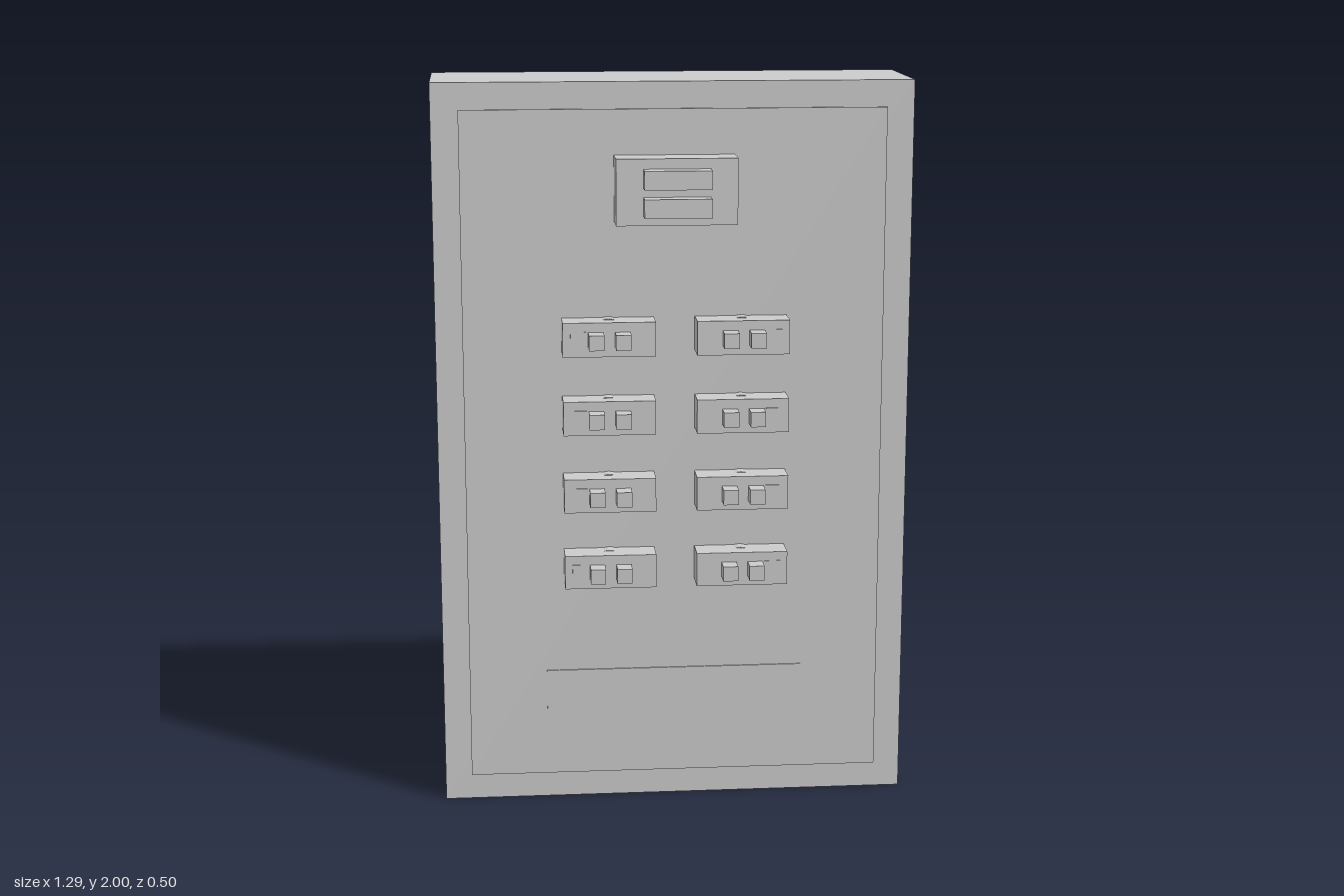
import * as THREE from 'three';

const material = new THREE.MeshStandardMaterial({ color: 0xcccccc });

// Box given by its centre in x and y, its size, and its back and front z
function slab(name, x, y, w, h, back, front) {
  const mesh = new THREE.Mesh(new THREE.BoxGeometry(w, h, front - back), material);
  mesh.name = name;
  mesh.position.set(x, y, (back + front) / 2);
  return mesh;
}

// Double breaker: body, round mount, two toggles and a rating plate on the outer side
function breaker(side, y) {
  const group = new THREE.Group();
  group.name = 'breaker';
  group.position.set(side * 0.18, y, 0);
  group.add(slab('breakerBody', 0, 0, 0.249, 0.093, 0.1, 0.189));

  const mount = new THREE.Mesh(new THREE.CylinderGeometry(0.049, 0.049, 0.045, 32), material);
  mount.name = 'breakerMount';
  mount.rotation.x = Math.PI / 2;
  mount.position.z = 0.1235;
  group.add(mount);

  for (const s of [-1, 1]) {
    group.add(slab('breakerToggle', s * 0.036, 0, 0.041, 0.041, 0.18, 0.236));
  }
  group.add(slab('ratingPlate', side * 0.083, 0.003, 0.042, 0.038, 0.18, 0.192));
  return group;
}

export function createModel() {
  const model = new THREE.Group();
  model.name = 'breakerPanel';

  // Cabinet, door and blank directory card
  model.add(slab('cabinet', 0, 1, 1.286, 2, -0.25, 0.103));
  model.add(slab('door', 0, 1, 1.14, 1.857, 0.09, 0.11));
  model.add(slab('directoryCard', 0, 0.287, 0.71, 0.178, 0.1, 0.114));

  // Main switch with two wide toggles
  const main = new THREE.Group();
  main.name = 'mainSwitch';
  main.add(slab('mainSwitchBody', 0, 1.719, 0.322, 0.176, 0.1, 0.203));
  for (const y of [1.755, 1.681]) {
    main.add(slab('mainSwitchToggle', 0, y, 0.178, 0.05, 0.19, 0.25));
  }
  model.add(main);

  // Two columns of four breakers
  for (let row = 0; row < 4; row++) {
    for (const side of [-1, 1]) model.add(breaker(side, 0.681 + row * 0.2147));
  }
  return model;
}
